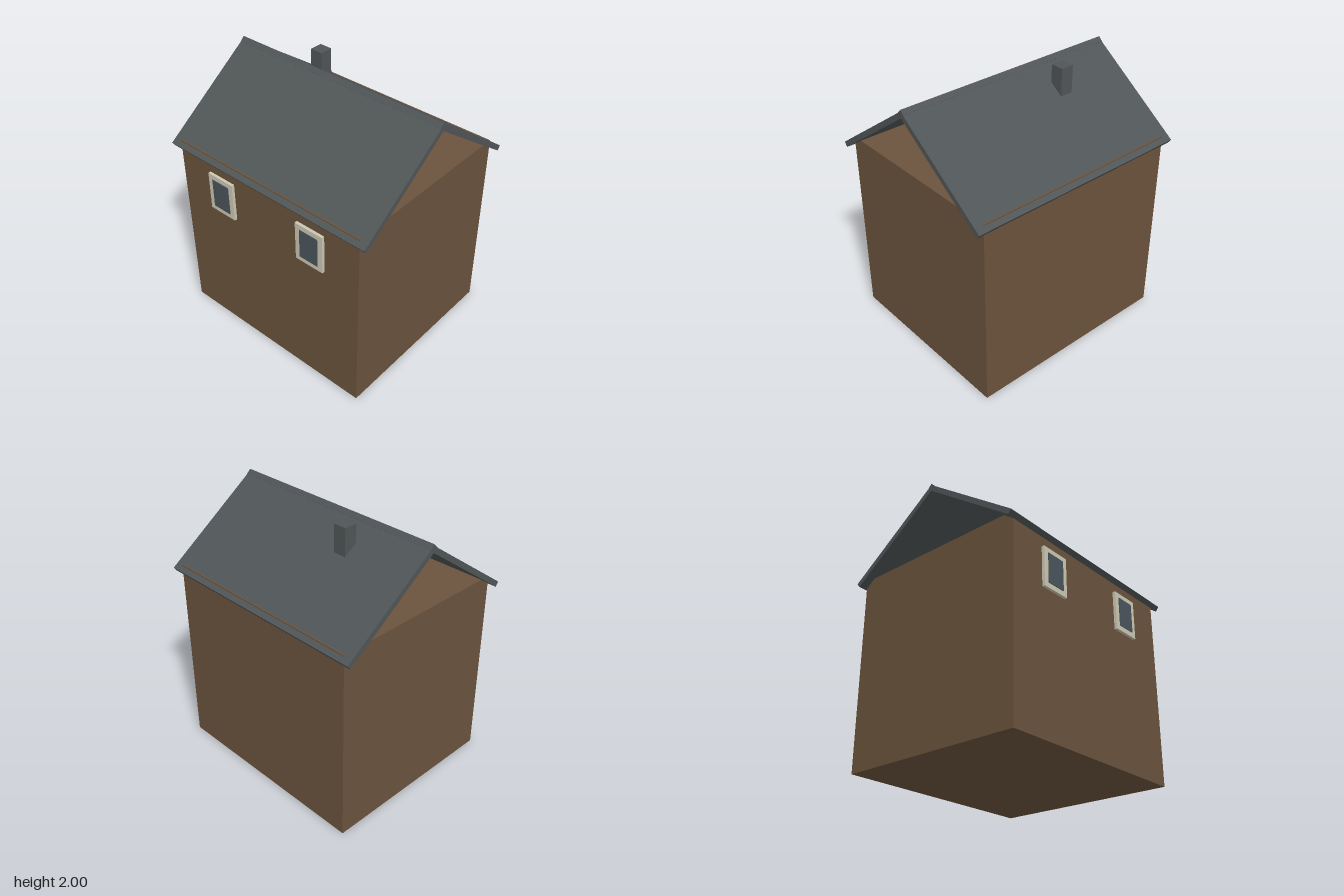
import * as THREE from 'three';

const mat = (name, color) => {
  const m = new THREE.MeshStandardMaterial({ color });
  m.name = name;
  return m;
};

export function createModel() {
  const house = new THREE.Group();
  house.name = 'house';
  const wood = mat('brown wood', 0x6b533d);
  const slate = mat('grey slate', 0x505557);
  const trim = mat('cream trim', 0xccc8b4);
  const glass = mat('dark glass', 0x4a555c);

  const box = (name, material, size, position, parent = house) => {
    const mesh = new THREE.Mesh(new THREE.BoxGeometry(...size), material);
    mesh.name = name;
    mesh.position.set(...position);
    parent.add(mesh);
    return mesh;
  };

  // Walls: one solid block whose top edges just break through the roof
  box('walls', wood, [1.425, 1.472, 1.63], [0, 0.736, 0]);

  // Roof: two sloping slabs meeting at the ridge, with open gables
  const length = 1.757;
  for (const side of [1, -1]) {
    const profile = new THREE.Shape([
      [0, 1.974], [0, 1.925], [0.723, 1.407], [0.747, 1.439],
    ].map(([x, y]) => new THREE.Vector2(side * x, y)));
    const geometry = new THREE.ExtrudeGeometry(profile, { depth: length, bevelEnabled: false });
    geometry.translate(0, 0, -length / 2);
    const slab = new THREE.Mesh(geometry, slate);
    slab.name = side > 0 ? 'leftRoofSlab' : 'rightRoofSlab';
    house.add(slab);
  }

  // Ridge beam: square bar turned onto its corner
  box('ridgeBeam', slate, [0.043, 0.043, length], [0, 1.955, 0]).rotation.z = Math.PI / 4;

  // Chimney
  box('chimney', slate, [0.1, 0.32, 0.1], [0.2, 1.84, -0.31]);

  // Two windows high on one long wall
  for (const z of [-0.41, 0.41]) {
    const windowGroup = new THREE.Group();
    windowGroup.name = z < 0 ? 'backWindow' : 'frontWindow';
    windowGroup.position.set(-0.712, 1.188, z);
    box('windowFrame', trim, [0.022, 0.3, 0.235], [-0.011, 0, 0], windowGroup);
    box('windowPane', glass, [0.008, 0.225, 0.155], [-0.023, 0, 0], windowGroup);
    house.add(windowGroup);
  }

  return house;
}
